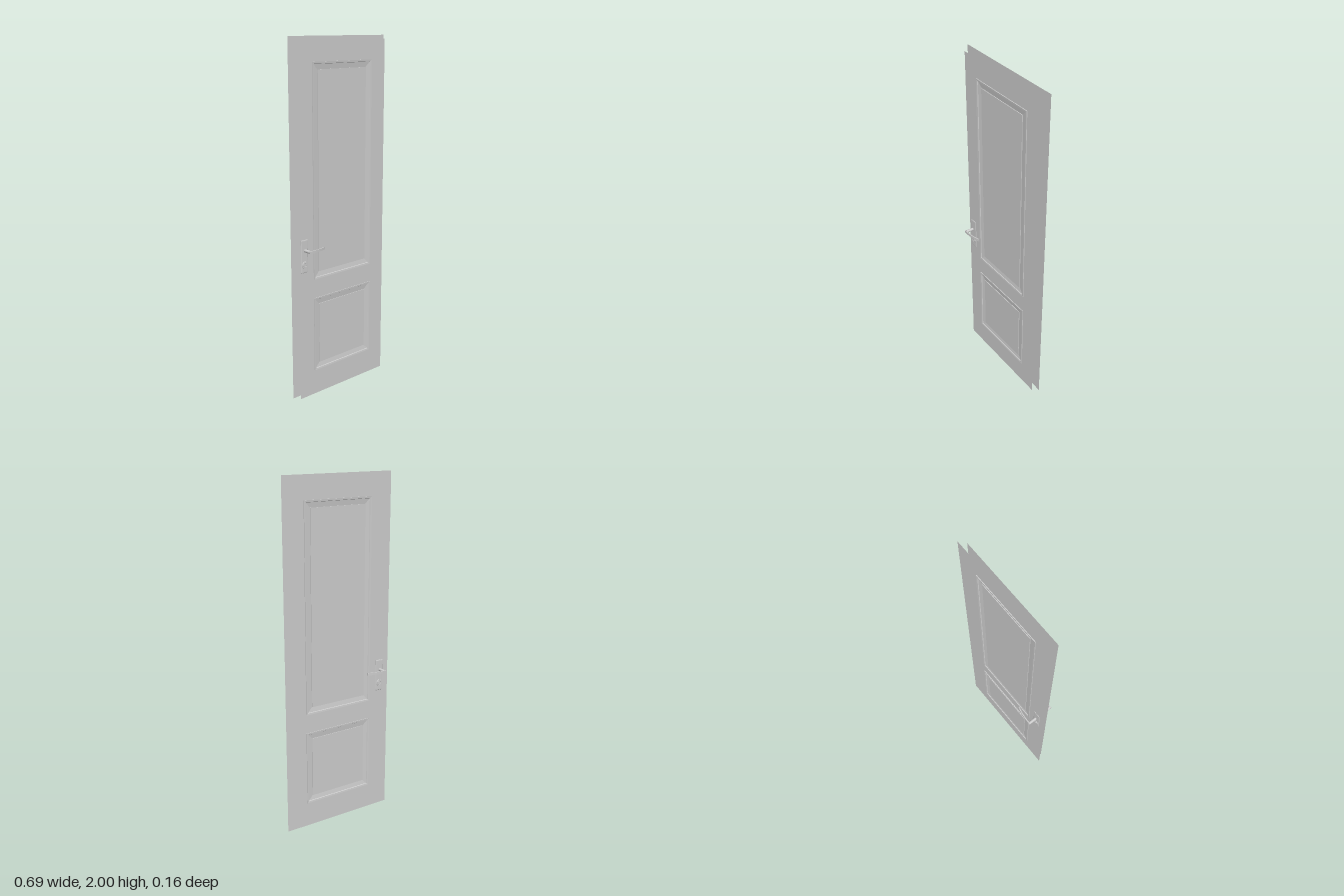
import * as THREE from 'three';

const metal = new THREE.MeshStandardMaterial({ color: 0xcccccc, side: THREE.DoubleSide });
const paint = new THREE.MeshStandardMaterial({ color: 0xcccccc, side: THREE.DoubleSide, flatShading: true });

const FRONT = 0.013, BACK = -0.022; // z of the two door skins
const PANELS = [{ y0: 0.145, y1: 0.58 }, { y0: 0.69, y1: 1.87 }];
const PANEL_X = 0.215, INSET = 0.04;

function add(parent, name, geometry, material, x = 0, y = 0, z = 0) {
  const mesh = new THREE.Mesh(geometry, material);
  mesh.name = name;
  mesh.position.set(x, y, z);
  parent.add(mesh);
  return mesh;
}

function rectPath(path, x0, y0, x1, y1) {
  path.moveTo(x0, y0);
  path.lineTo(x1, y0);
  path.lineTo(x1, y1);
  path.lineTo(x0, y1);
  path.closePath();
  return path;
}

// Flat skin with openings for the panels
function skinGeometry(halfWidth, height) {
  const shape = rectPath(new THREE.Shape(), -halfWidth, 0, halfWidth, height);
  for (const p of PANELS) {
    shape.holes.push(rectPath(new THREE.Path(), -PANEL_X, p.y0, PANEL_X, p.y1));
  }
  return new THREE.ShapeGeometry(shape);
}

// Sweep an [inset, z] profile around a rectangle with mitred corners
function mouldingGeometry(y0, y1, profile) {
  const corner = (i, [d, z]) => [
    i === 1 || i === 2 ? PANEL_X - d : d - PANEL_X,
    i >= 2 ? y1 - d : y0 + d,
    z,
  ];
  const pos = [];
  for (let i = 0; i < 4; i++) {
    const j = (i + 1) % 4;
    for (let k = 0; k + 1 < profile.length; k++) {
      const a = corner(i, profile[k]), b = corner(j, profile[k]);
      const c = corner(j, profile[k + 1]), d = corner(i, profile[k + 1]);
      pos.push(...d, ...c, ...b, ...d, ...b, ...a);
    }
  }
  const g = new THREE.BufferGeometry();
  g.setAttribute('position', new THREE.Float32BufferAttribute(pos, 3));
  g.computeVertexNormals();
  return g;
}

// Plate, lock and lever, measured outwards (+z) from the door face
function createHandle() {
  const handle = new THREE.Group();
  const x = -0.281, leverY = 0.872;

  // Back plate with bevelled rim
  const plate = rectPath(new THREE.Shape(), -0.018, -0.087, 0.018, 0.087);
  add(handle, 'backPlate', new THREE.ExtrudeGeometry(plate, {
    depth: 0.001, bevelEnabled: true, bevelThickness: 0.0018, bevelSize: 0.006, bevelSegments: 2,
  }), metal, x, 0.837, 0);

  // Round lock cover
  add(handle, 'lockCover', new THREE.CylinderGeometry(0.018, 0.02, 0.004, 32).rotateX(Math.PI / 2),
    metal, x, 0.79, 0.003);
  add(handle, 'lockRing', new THREE.TorusGeometry(0.012, 0.0015, 8, 32), metal, x, 0.79, 0.005);

  // Spindle neck
  add(handle, 'leverNeck', new THREE.CylinderGeometry(0.0085, 0.0085, 0.046, 24).rotateX(Math.PI / 2),
    metal, x, leverY, 0.0315);

  // Bowed lever, drawn in x-z and extruded in height
  const bar = new THREE.Shape();
  bar.moveTo(-0.2895, 0.0595);
  bar.lineTo(-0.2895, 0.0535);
  bar.lineTo(-0.265, 0.0535);
  bar.quadraticCurveTo(-0.215, 0.052, -0.172, 0.0385);
  bar.lineTo(-0.17, 0.0435);
  bar.quadraticCurveTo(-0.213, 0.0575, -0.265, 0.0593);
  bar.closePath();
  const lever = new THREE.ExtrudeGeometry(bar, { depth: 0.014, bevelEnabled: false, curveSegments: 16 });
  lever.rotateX(Math.PI / 2);
  add(handle, 'lever', lever, metal, 0, leverY + 0.007, 0);
  return handle;
}

export function createModel() {
  const door = new THREE.Group();
  door.name = 'door';

  // Two skins: the rear one overlaps the frame
  add(door, 'frontSkin', skinGeometry(0.32, 1.98), paint, 0, 0, FRONT);
  add(door, 'backSkin', skinGeometry(0.345, 2).rotateY(Math.PI), paint, 0, 0, BACK);

  // Proud outer bead, sloping recess and raised field on both faces
  const half = [[INSET, 0], [INSET, -0.004], [0.012, 0], [0.01, 0.0035], [0, 0.0045]];
  const profile = [
    ...half.map(([d, z]) => [d, FRONT + z]),
    ...half.map(([d, z]) => [d, BACK - z]).reverse(),
  ];
  PANELS.forEach((p, i) => {
    const panel = new THREE.Group();
    panel.name = i ? 'upperPanel' : 'lowerPanel';
    add(panel, 'moulding', mouldingGeometry(p.y0, p.y1, profile), paint);
    const w = 2 * (PANEL_X - INSET), h = p.y1 - p.y0 - 2 * INSET, y = (p.y0 + p.y1) / 2;
    add(panel, 'frontField', new THREE.PlaneGeometry(w, h), paint, 0, y, FRONT);
    add(panel, 'backField', new THREE.PlaneGeometry(w, h).rotateY(Math.PI), paint, 0, y, BACK);
    door.add(panel);
  });

  // Handles on both sides
  const frontHandle = createHandle();
  frontHandle.name = 'frontHandle';
  frontHandle.position.z = FRONT;
  const backHandle = createHandle();
  backHandle.name = 'backHandle';
  backHandle.scale.z = -1;
  backHandle.position.z = BACK - 0.005;
  door.add(frontHandle, backHandle);

  // Door stands very slightly ajar
  door.rotation.y = 0.0227;
  const model = new THREE.Group();
  model.name = 'panelDoor';
  model.add(door);
  return model;
}
